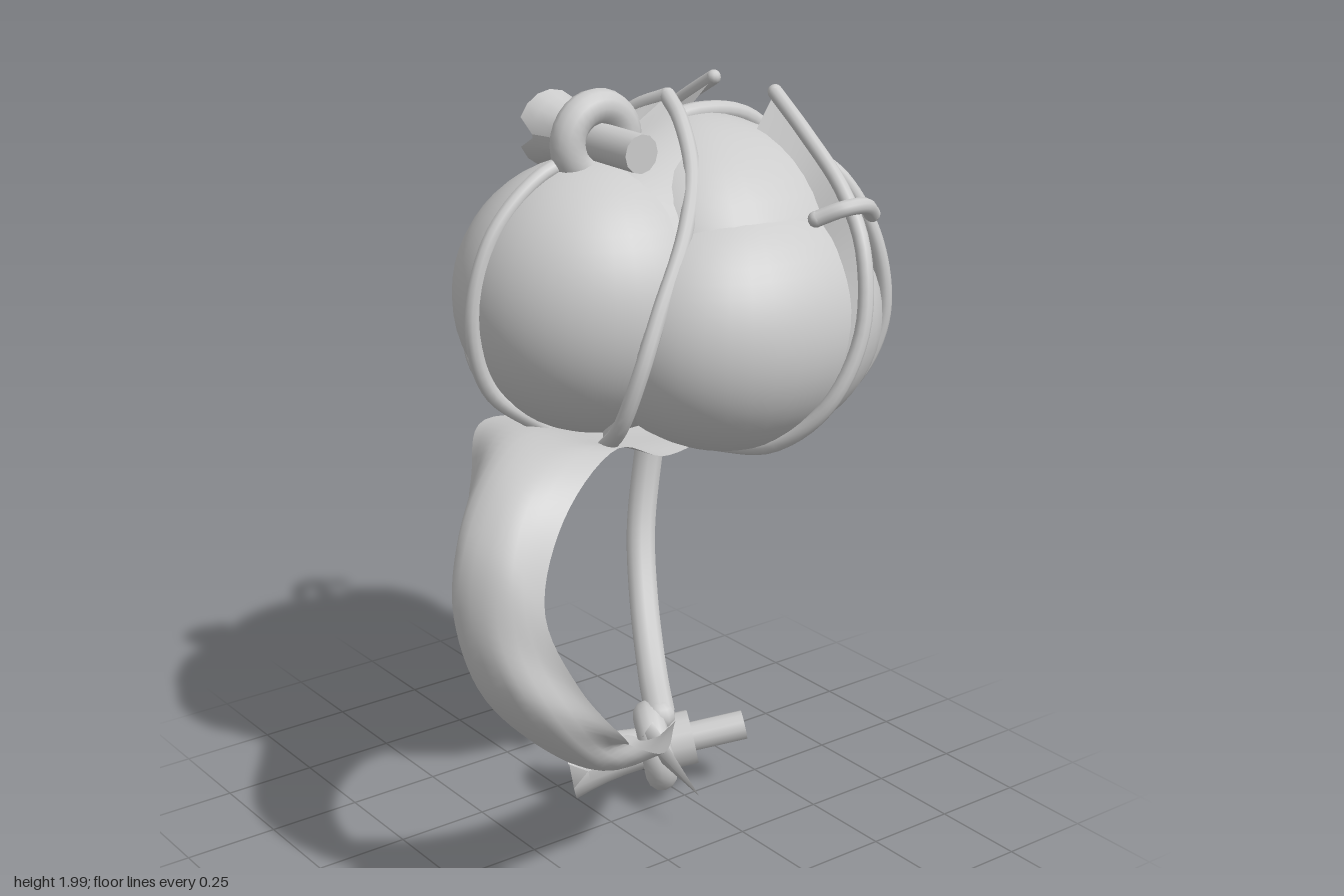
import * as THREE from 'three';

const grey = new THREE.MeshStandardMaterial({ color: 0xcccccc });
const greyTwoSided = new THREE.MeshStandardMaterial({ color: 0xcccccc, side: THREE.DoubleSide });

const curve = (pts) => new THREE.CatmullRomCurve3(pts.map((p) => new THREE.Vector3(...p)));
const mirror = (pts, s) => pts.map(([x, y, z]) => [x * s, y, z]);

function add(parent, name, geometry, material = grey) {
  const mesh = new THREE.Mesh(geometry, material);
  mesh.name = name;
  parent.add(mesh);
  return mesh;
}

// Rounded cord with domed ends
function cord(parent, name, pts, radius) {
  const group = new THREE.Group();
  group.name = name;
  const path = curve(pts);
  add(group, name + 'Tube', new THREE.TubeGeometry(path, 40, radius, 10));
  for (const t of [0, 1]) {
    add(group, name + 'End', new THREE.SphereGeometry(radius, 10, 8)).position.copy(path.getPoint(t));
  }
  parent.add(group);
}

// The same cord on both sides of the pouch
function cordPair(parent, name, pts, radius) {
  for (const s of [1, -1]) cord(parent, (s > 0 ? 'left' : 'right') + name, mirror(pts, s), radius);
}

// Ellipsoid whose plan view is squarer for a higher power
function lobe(parent, name, center, radii, power) {
  const geometry = new THREE.SphereGeometry(1, 40, 28);
  const pos = geometry.attributes.position;
  for (let i = 0; i < pos.count; i++) {
    const x = pos.getX(i), z = pos.getZ(i);
    const norm = (Math.abs(x) ** power + Math.abs(z) ** power) ** (1 / power);
    const k = norm > 1e-6 ? Math.hypot(x, z) / norm : 1;
    pos.setXYZ(i, x * k, pos.getY(i), z * k);
  }
  geometry.scale(...radii);
  geometry.computeVertexNormals();
  add(parent, name, geometry).position.set(...center);
}

// Toggle peg along local x: flared, split end at -x, thin end at +x, ring at the origin
function toggle(name, flareLength, stickLength, stickRadius) {
  const group = new THREE.Group();
  group.name = name;
  const flareGeo = new THREE.CylinderGeometry(0.055, 0.055, flareLength, 16, 5);
  const pos = flareGeo.attributes.position;
  for (let i = 0; i < pos.count; i++) {
    const x = pos.getX(i), y = pos.getY(i), z = pos.getZ(i);
    const widen = 1 + 0.72 * (y / flareLength + 0.5) ** 2;
    // split in the rim
    const split = y > flareLength * 0.49 && z > 0.05 && Math.abs(x) < 0.01 ? 0.05 : 0;
    pos.setXYZ(i, x * widen, y - split, z * widen - split * 0.4);
  }
  flareGeo.computeVertexNormals();
  const flare = add(group, 'flaredEnd', flareGeo);
  flare.rotation.z = Math.PI / 2;
  flare.position.x = -flareLength / 2;
  const stick = add(group, 'thinEnd', new THREE.CylinderGeometry(stickRadius, stickRadius, stickLength, 12));
  stick.rotation.z = Math.PI / 2;
  stick.position.x = stickLength / 2;
  const ring = add(group, 'knotRing', new THREE.TorusGeometry(0.083, 0.043, 12, 28));
  ring.rotation.y = Math.PI / 2;
  return group;
}

// Curved sheet lofted across two or more edge paths
function ribbon(edges, along, across) {
  const paths = edges.map(curve);
  const verts = [], index = [];
  for (let i = 0; i <= along; i++) {
    const section = new THREE.CatmullRomCurve3(paths.map((p) => p.getPoint(i / along)));
    for (let j = 0; j <= across; j++) {
      verts.push(...section.getPoint(j / across).toArray());
      if (i < along && j < across) {
        const a = i * (across + 1) + j, b = a + across + 1;
        index.push(a, b, a + 1, b, b + 1, a + 1);
      }
    }
  }
  const geometry = new THREE.BufferGeometry();
  geometry.setAttribute('position', new THREE.Float32BufferAttribute(verts, 3));
  geometry.setIndex(index);
  geometry.computeVertexNormals();
  return geometry;
}

export function createModel() {
  const model = new THREE.Group();
  model.name = 'pouchOnStrap';

  // Bulging pouch of four lobes
  lobe(model, 'frontLobe', [0, 1.49, 0.05], [0.345, 0.34, 0.35], 2);
  lobe(model, 'backLobe', [0, 1.5, -0.25], [0.44, 0.4, 0.37], 2.5);
  lobe(model, 'leftLobe', [0.21, 1.43, -0.21], [0.33, 0.32, 0.38], 2.2);
  lobe(model, 'rightLobe', [-0.21, 1.43, -0.21], [0.33, 0.32, 0.38], 2.2);

  // Cords that bind the lobes
  cord(model, 'frontCord', [[0, 1.84, 0.06], [0, 1.8, 0.21], [0, 1.67, 0.35], [0, 1.47, 0.405],
    [0, 1.3, 0.36], [0, 1.17, 0.2]], 0.02);
  cord(model, 'backCord', [[0, 1.88, -0.14], [0, 1.9, -0.26], [0, 1.87, -0.42], [0, 1.73, -0.56],
    [0, 1.5, -0.62], [0, 1.28, -0.57], [0, 1.12, -0.38]], 0.024);
  const frontSeam = [[0, 1.95, -0.17], [0.09, 1.91, -0.14], [0.2, 1.81, -0.09], [0.29, 1.69, 0],
    [0.35, 1.53, 0.12], [0.36, 1.4, 0.18], [0.31, 1.26, 0.2], [0.2, 1.17, 0.17]];
  cordPair(model, 'FrontSeamCord', frontSeam, 0.02);
  const sideSeam = [[0.12, 1.95, -0.41], [0.25, 1.87, -0.4], [0.4, 1.76, -0.39],
    [0.5, 1.64, -0.37], [0.55, 1.45, -0.33], [0.52, 1.28, -0.26], [0.4, 1.16, -0.2], [0.15, 1.1, -0.17]];
  cordPair(model, 'SideCord', sideSeam, 0.019);
  const backSeam = [[0.22, 1.84, -0.4], [0.3, 1.76, -0.48], [0.36, 1.6, -0.545],
    [0.37, 1.4, -0.565], [0.32, 1.23, -0.505], [0.2, 1.13, -0.38]];
  cordPair(model, 'BackSeamCord', backSeam, 0.018);
  cordPair(model, 'SideCatch', [[0.42, 1.71, -0.29], [0.46, 1.735, -0.34], [0.465, 1.735, -0.4],
    [0.43, 1.7, -0.46]], 0.02);

  // Cloth webs stretched between the cords and the lobes
  const frontInner = [[0, 1.83, 0.03], [0.08, 1.82, 0.04], [0.17, 1.77, 0.06], [0.25, 1.67, 0.09],
    [0.3, 1.53, 0.14], [0.31, 1.41, 0.16], [0.27, 1.28, 0.17], [0.17, 1.2, 0.15]];
  const sideInner = [[0.14, 1.86, -0.33], [0.25, 1.8, -0.34], [0.38, 1.68, -0.34], [0.46, 1.59, -0.32],
    [0.51, 1.45, -0.29], [0.48, 1.29, -0.25], [0.37, 1.18, -0.2], [0.15, 1.13, -0.17]];
  const backInner = [[0.18, 1.83, -0.42], [0.22, 1.75, -0.49], [0.27, 1.6, -0.55],
    [0.28, 1.4, -0.56], [0.24, 1.24, -0.49], [0.16, 1.14, -0.38]];
  for (const [side, s] of [['left', 1], ['right', -1]]) {
    const web = (name, a, b) =>
      add(model, side + name, ribbon([mirror(a, s), mirror(b, s)], 30, 2), greyTwoSided);
    web('FrontWeb', frontSeam, frontInner);
    web('SideWeb', sideSeam, sideInner);
    web('BackWeb', backSeam, backInner);
  }

  // Small loop below the pouch
  cord(model, 'bottomLoop', [[-0.13, 1.12, -0.02], [-0.13, 1.07, -0.05], [-0.12, 1.055, -0.1],
    [-0.11, 1.08, -0.16]], 0.02);

  // Toggle on top
  const topToggle = toggle('topToggle', 0.19, 0.18, 0.047);
  topToggle.position.set(0.015, 1.87, 0.055);
  model.add(topToggle);

  // Wide strap, rounded across, with a torn outer edge
  const inner = [[-0.08, 1.085, -0.28], [-0.22, 1.1, 0], [-0.19, 1.15, 0.26], [0, 1.09, 0.42], [0.14, 1, 0.53],
    [0.19, 0.85, 0.58], [0.2, 0.65, 0.52], [0.18, 0.5, 0.39], [0.08, 0.33, 0.18], [-0.1, 0.19, -0.13]];
  const middle = [[0, 1.08, -0.28], [0, 1.11, 0], [0.04, 1.2, 0.3], [0.14, 1.16, 0.47], [0.21, 1.04, 0.59],
    [0.24, 0.88, 0.63], [0.28, 0.68, 0.59], [0.27, 0.49, 0.43], [0.18, 0.32, 0.2], [-0.05, 0.195, -0.15]];
  const shoulder = [[0.05, 1.08, -0.28], [0.13, 1.12, 0], [0.2, 1.205, 0.28], [0.28, 1.15, 0.46], [0.34, 1.02, 0.56],
    [0.37, 0.86, 0.59], [0.42, 0.68, 0.54], [0.41, 0.5, 0.39], [0.29, 0.35, 0.19], [-0.01, 0.22, -0.18]];
  const outer = [[0.08, 1.085, -0.28], [0.22, 1.12, 0], [0.29, 1.2, 0.2], [0.36, 1.09, 0.4], [0.41, 0.9, 0.49],
    [0.45, 0.7, 0.42], [0.45, 0.52, 0.28], [0.37, 0.47, 0.23], [0.33, 0.38, 0.09], [0.02, 0.26, -0.2]];
  add(model, 'strap', ribbon([inner, middle, shoulder, outer], 60, 12), greyTwoSided);

  // Pointed tag at the strap's end
  const tag = add(model, 'strapTag', new THREE.ConeGeometry(0.05, 0.24, 4));
  tag.scale.z = 0.4;
  tag.rotation.z = -1.95;
  tag.position.set(0.09, 0.175, -0.14);

  // Round carrying cord on the other side
  cord(model, 'carryingCord', [[-0.32, 1.22, -0.4], [-0.38, 1.2, -0.46], [-0.44, 1.14, -0.51], [-0.475, 1, -0.515],
    [-0.49, 0.8, -0.49], [-0.455, 0.6, -0.44], [-0.36, 0.43, -0.38], [-0.2, 0.29, -0.29], [-0.06, 0.24, -0.21]], 0.042);

  // Lower toggle joining cord and strap
  const lowToggle = toggle('lowerToggle', 0.24, 0.25, 0.04);
  const direction = new THREE.Vector3(0.25, 0.1, -0.42).normalize();
  lowToggle.quaternion.setFromUnitVectors(new THREE.Vector3(1, 0, 0), direction);
  lowToggle.position.set(-0.07, 0.15, -0.2);
  const collar = add(lowToggle, 'collar', new THREE.CylinderGeometry(0.075, 0.075, 0.07, 12));
  collar.rotation.z = Math.PI / 2;
  collar.position.x = 0.07;
  model.add(lowToggle);

  return model;
}
